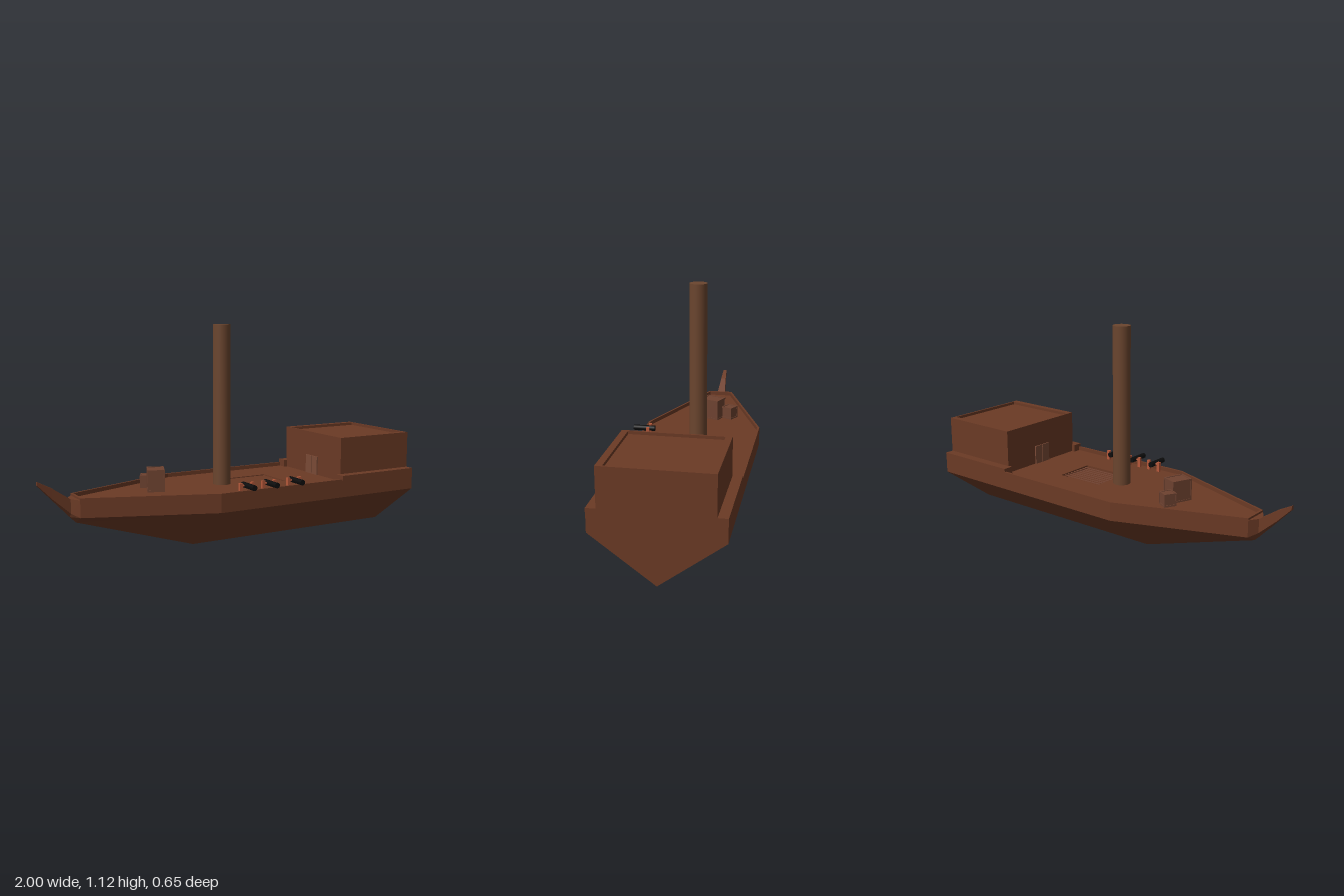
import * as THREE from 'three';

const paint = (color, extra = {}) => new THREE.MeshStandardMaterial({ color, ...extra });
const wood = paint(0x6b3a25, { flatShading: true });
const crateWood = paint(0x6e4230, { flatShading: true });
const doorWood = paint(0x7a4a36);
const mastWood = paint(0x6b452e);
const iron = paint(0x0c0c0c);
const copper = paint(0xb5583a);

const DECK = 0.3, RAIL = 0.32;

function add(parent, name, geometry, material, x = 0, y = 0, z = 0) {
  const mesh = new THREE.Mesh(geometry, material);
  mesh.name = name;
  mesh.position.set(x, y, z);
  parent.add(mesh);
  return mesh;
}

// Box given by its lower and upper limits on each axis
function span(parent, name, material, [x0, x1], [y0, y1], [z0, z1]) {
  return add(parent, name, new THREE.BoxGeometry(x1 - x0, y1 - y0, z1 - z0), material,
    (x0 + x1) / 2, (y0 + y1) / 2, (z0 + z1) / 2);
}

// Skin between rings of points listed from -x to +x; capIds picks the end outline
function loft(rings, capIds) {
  const out = [];
  const tri = (a, b, c) => out.push(...a, ...b, ...c);
  for (let i = 0; i < rings.length - 1; i++) {
    const p = rings[i], q = rings[i + 1];
    for (let j = 0; j < p.length; j++) {
      const k = (j + 1) % p.length;
      tri(p[j], q[j], q[k]);
      tri(p[j], q[k], p[k]);
    }
  }
  const first = capIds.map(i => rings[0][i]);
  const last = capIds.map(i => rings[rings.length - 1][i]);
  for (let i = 1; i < capIds.length - 1; i++) {
    tri(first[0], first[i], first[i + 1]);
    tri(last[0], last[i + 1], last[i]);
  }
  const g = new THREE.BufferGeometry();
  g.setAttribute('position', new THREE.Float32BufferAttribute(out, 3));
  g.computeVertexNormals();
  return g;
}

// Horizontal plate with a rectangular opening, thickness h upward
function plate(outline, [x0, x1], halfZ, h) {
  const shape = new THREE.Shape(outline.map(p => new THREE.Vector2(...p)));
  shape.holes.push(new THREE.Path([[x0, -halfZ], [x0, halfZ], [x1, halfZ], [x1, -halfZ]]
    .map(p => new THREE.Vector2(...p))));
  return new THREE.ExtrudeGeometry(shape, { depth: h, bevelEnabled: false }).rotateX(-Math.PI / 2);
}

function crate(parent, name, w, h, d, x, z, angle) {
  const g = new THREE.Group();
  g.name = name;
  g.position.set(x, DECK + h / 2, z);
  g.rotation.y = angle;
  const t = 0.008, s = 0.003;
  add(g, 'cratePanels', new THREE.BoxGeometry(w - 2 * s, h - 2 * s, d - 2 * s), crateWood);
  // Battens along the twelve edges
  for (const a of [-1, 1]) for (const b of [-1, 1]) {
    add(g, 'batten', new THREE.BoxGeometry(w, t, t), crateWood, 0, a * (h - t) / 2, b * (d - t) / 2);
    add(g, 'batten', new THREE.BoxGeometry(t, h, t), crateWood, a * (w - t) / 2, 0, b * (d - t) / 2);
    add(g, 'batten', new THREE.BoxGeometry(t, t, d), crateWood, a * (w - t) / 2, b * (h - t) / 2, 0);
  }
  parent.add(g);
}

function cannon(parent, x) {
  const g = new THREE.Group();
  g.name = 'cannon';
  g.position.set(x, 0.338, 0);
  add(g, 'barrel', new THREE.CylinderGeometry(0.014, 0.014, 0.113, 16).rotateX(Math.PI / 2), iron, 0, 0, 0.29);
  add(g, 'axle', new THREE.CylinderGeometry(0.005, 0.005, 0.07, 10).rotateZ(Math.PI / 2), copper, 0, 0, 0.265);
  for (const s of [-1, 1]) {
    span(g, 'bracket', copper, s < 0 ? [-0.041, -0.024] : [0.024, 0.041], [-0.038, 0.014], [0.258, 0.273]);
  }
  parent.add(g);
}

export function createModel() {
  const model = new THREE.Group();
  model.name = 'ship';
  const ship = new THREE.Group();
  ship.name = 'shipBody';
  ship.position.z = -0.022;
  model.add(ship);

  // Hull: V bottom, upright sides, thin bulwark around a sunken deck bed
  const t = 0.012, bed = 0.28;
  const hullRing = ([x, keel, w]) => [
    [x, keel, 0], [x, 0.225, w], [x, RAIL, w], [x, RAIL, w - t], [x, bed, w - t],
    [x, bed, t - w], [x, RAIL, t - w], [x, RAIL, -w], [x, 0.225, -w]];
  const hull = [[-0.815, 0.19, 0.067], [-0.19, 0, 0.303], [1, 0, 0.303]].map(hullRing);
  add(ship, 'hull', loft(hull, [0, 1, 2, 7, 8]), wood);
  span(ship, 'bowRail', wood, [-0.815, -0.803], [bed, RAIL], [-0.066, 0.066]);

  // Prow: tapering upward to a thin beak
  const prowRing = ([x, keel, chine, top, w]) => [
    [x, keel, 0], [x, chine, w], [x, top, w], [x, top, -w], [x, chine, -w]];
  const prow = [[-1, 0.385, 0.388, 0.405, 0.009], [-0.93, 0.31, 0.316, 0.368, 0.014],
    [-0.845, 0.22, 0.24, 0.31, 0.021], [-0.815, 0.19, 0.225, 0.31, 0.067]].map(prowRing);
  add(ship, 'prow', loft(prow, [0, 1, 2, 3, 4]), wood);

  // Deck with the hatch opening
  const deckOutline = [[-0.81, -0.056], [-0.19, -0.292], [0.998, -0.292],
    [0.998, 0.292], [-0.19, 0.292], [-0.81, 0.056]];
  add(ship, 'deck', plate(deckOutline, [0.05, 0.305], 0.105, DECK - bed), wood, 0, bed, 0);

  // Hatch grating of tilted slats
  for (let i = 0; i < 9; i++) {
    const slat = add(ship, 'hatchSlat', new THREE.BoxGeometry(0.255, 0.006, 0.017), wood,
      0.1775, 0.291, -0.0933 + i * 0.0233);
    slat.rotation.x = 0.35;
  }

  // Raised stern sides
  span(ship, 'sternRailLeft', wood, [0.53, 1], [DECK, 0.338], [0.25, 0.304]);
  span(ship, 'sternRailRight', wood, [0.53, 1], [DECK, 0.338], [-0.304, -0.25]);

  // Cabin with a rim around the sunken roof
  span(ship, 'cabin', wood, [0.55, 1], [DECK, 0.515], [-0.257, 0.257]);
  add(ship, 'cabinRoofRim', plate([[0.55, -0.257], [1, -0.257], [1, 0.257], [0.55, 0.257]],
    [0.56, 0.99], 0.225, 0.015), wood, 0, 0.515, 0);

  // Double door facing the deck
  for (const s of [-1, 1]) {
    add(ship, 'cabinDoor', new THREE.BoxGeometry(0.01, 0.1, 0.05), doorWood, 0.548, 0.35, s * 0.027);
  }

  add(ship, 'mast', new THREE.CylinderGeometry(0.045, 0.045, 0.83, 32), mastWood, -0.02, 0.705, 0);

  crate(ship, 'largeCrate', 0.086, 0.11, 0.108, -0.387, -0.02, -0.38);
  crate(ship, 'smallCrate', 0.063, 0.065, 0.065, -0.395, -0.113, -0.5);

  for (const x of [-0.03, 0.1, 0.25]) cannon(ship, x);

  return model;
}
